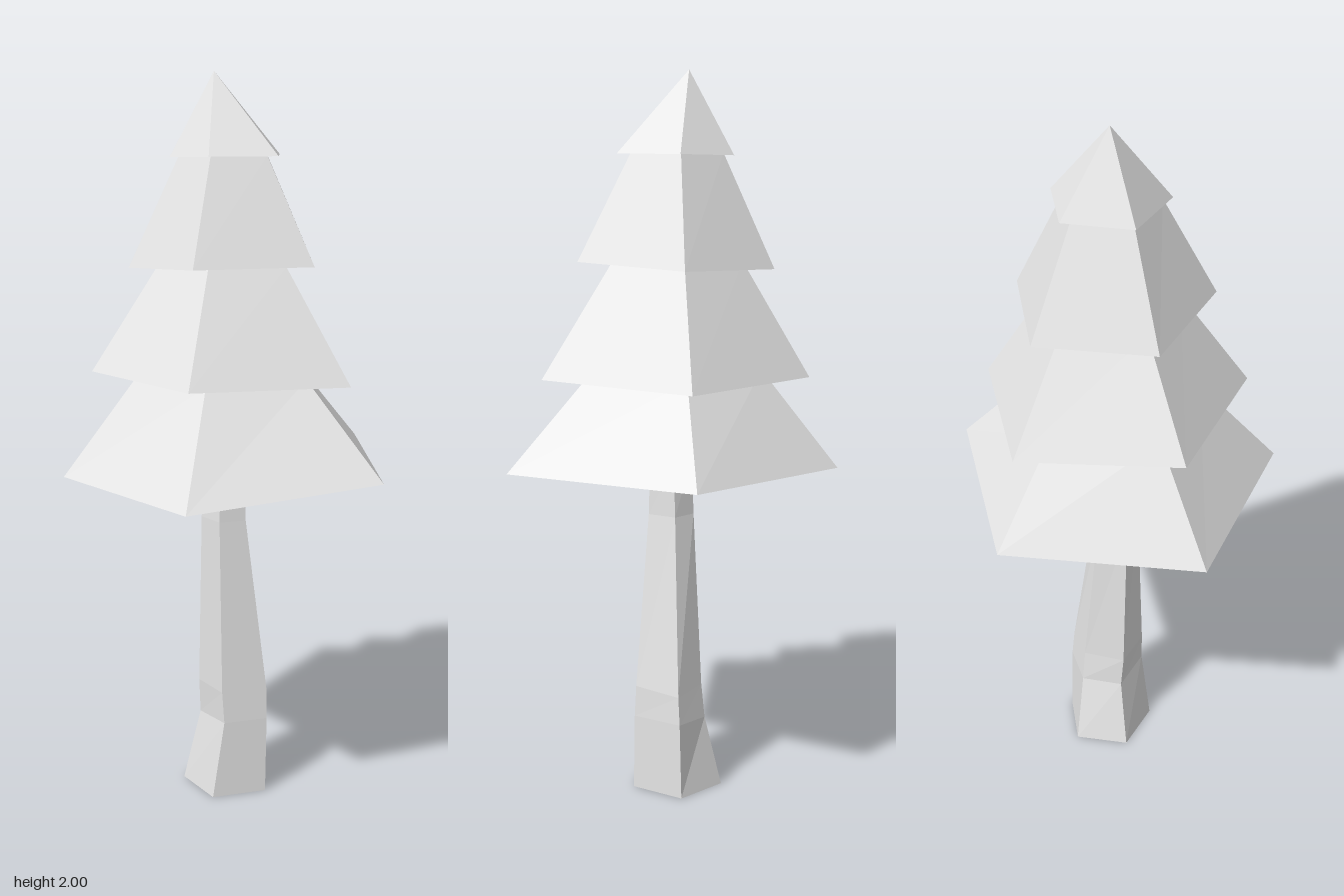
import * as THREE from 'three';

// Skin a stack of five-sided rings, closing both ends with a fan to a point.
// Each ring runs clockwise as seen from above.
function skin(rings, bottom, top) {
  const pos = [];
  const tri = (...corners) => corners.forEach((c) => pos.push(...c));
  const last = rings.length - 1;
  for (let i = 0; i < 5; i++) {
    const j = (i + 1) % 5;
    tri(bottom, rings[0][i], rings[0][j]);
    for (let k = 0; k < last; k++) {
      const a = rings[k], b = rings[k + 1];
      tri(a[j], a[i], b[i]);
      tri(a[j], b[i], b[j]);
    }
    tri(rings[last][j], rings[last][i], top);
  }
  const geo = new THREE.BufferGeometry();
  geo.setAttribute('position', new THREE.Float32BufferAttribute(pos, 3));
  geo.computeVertexNormals();
  return geo;
}

export function createModel() {
  const group = new THREE.Group();
  group.name = 'tree';
  const paleGrey = new THREE.MeshStandardMaterial({ color: 0xe7e7e7, flatShading: true });
  paleGrey.name = 'paleGrey';

  const add = (name, geo) => {
    const mesh = new THREE.Mesh(geo, paleGrey);
    mesh.name = name;
    group.add(mesh);
  };

  // Trunk: leaning, tapering pentagon; corners back, left, front, front, right
  const trunk = [
    [[0.01, 0, -0.13], [0.13, 0, -0.04], [0.085, 0, 0.11], [-0.07, 0, 0.11], [-0.115, 0, -0.04]],
    [[0.03, 0.21, -0.085], [0.13, 0.22, -0.035], [0.09, 0.22, 0.105], [-0.035, 0.22, 0.105], [-0.07, 0.21, -0.02]],
    [[0.03, 0.31, -0.075], [0.125, 0.3, -0.03], [0.09, 0.31, 0.1], [-0.04, 0.31, 0.1], [-0.075, 0.31, -0.015]],
    [[0.0, 0.8, -0.045], [0.055, 0.8, -0.005], [0.035, 0.8, 0.075], [-0.04, 0.8, 0.075], [-0.07, 0.8, 0.0]],
    [[0.0, 0.96, -0.04], [0.05, 0.96, 0], [0.035, 0.96, 0.07], [-0.035, 0.96, 0.07], [-0.06, 0.96, 0]],
  ];
  add('trunk', skin(trunk, [0, 0, 0], [0, 0.96, 0.02]));

  // Foliage: the uneven lower rim of each tier
  const rims = [
    [[-0.03, 0.945, -0.44], [0.44, 0.97, -0.15], [0.31, 0.962, 0.39], [-0.23, 0.933, 0.435], [-0.44, 0.92, -0.08]],
    [[-0.015, 1.195, -0.36], [0.36, 1.2, -0.12], [0.245, 1.205, 0.31], [-0.195, 1.218, 0.335], [-0.355, 1.21, -0.08]],
    [[0.01, 1.485, -0.265], [0.268, 1.498, -0.08], [0.17, 1.508, 0.23], [-0.155, 1.51, 0.235], [-0.25, 1.488, -0.075]],
    [[0.015, 1.78, -0.155], [0.165, 1.785, -0.045], [0.1, 1.785, 0.14], [-0.085, 1.785, 0.135], [-0.14, 1.78, -0.05]],
  ];
  const necks = [[0.52, 1.21], [0.49, 1.502], [0.47, 1.786]]; // shrink and height of each tier's top

  // Every tier narrows to a neck, then steps out to the next rim
  const rings = [];
  rims.forEach((rim, k) => {
    rings.push(rim);
    if (k < necks.length) {
      const [s, y] = necks[k];
      rings.push(rim.map(([x, , z]) => [x * s, y, z * s]));
    }
  });
  add('foliage', skin(rings, [0, 0.946, 0], [-0.025, 2, -0.025]));

  return group;
}
